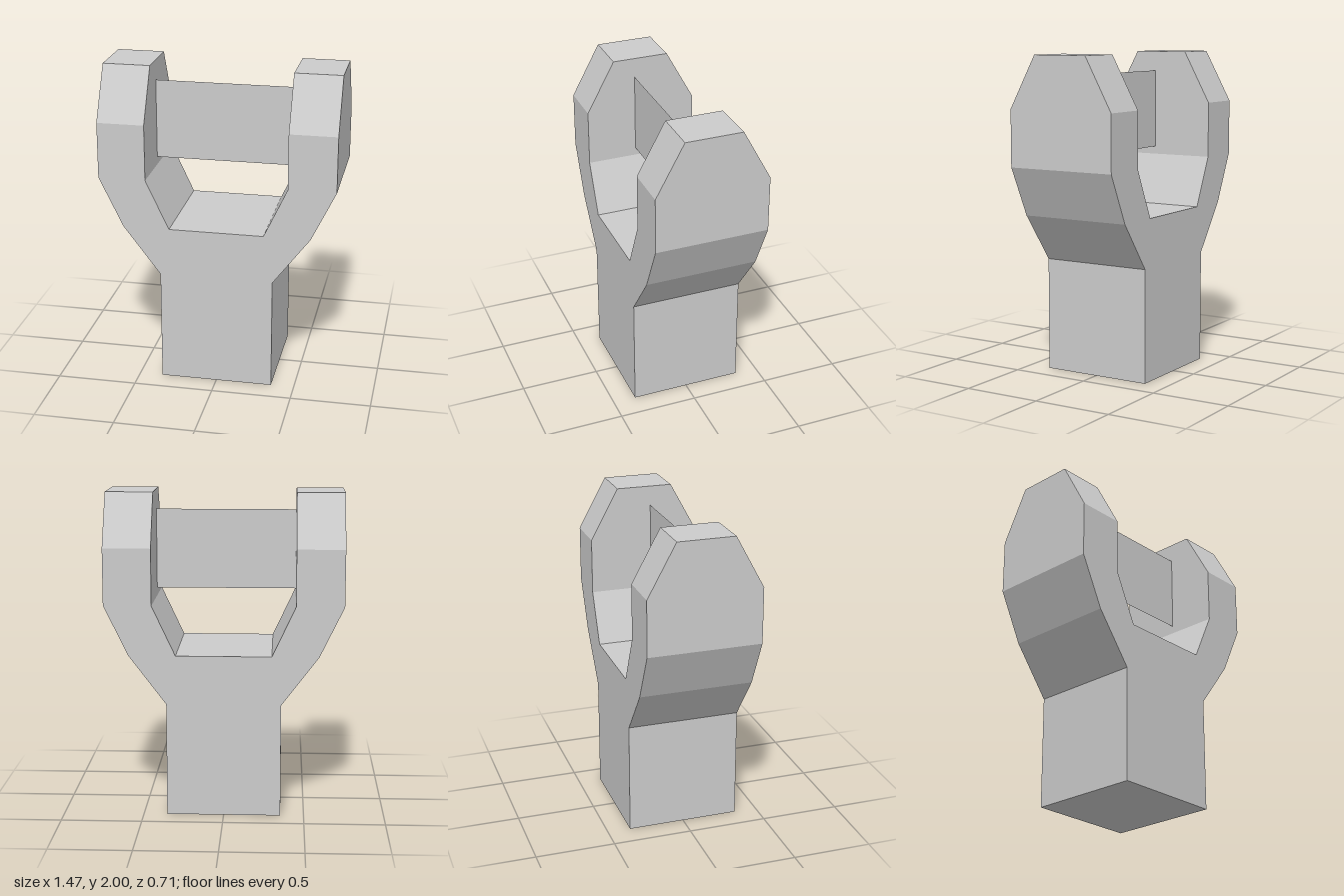
import * as THREE from 'three';

const DEPTH = 0.71, SHOULDER = 1.675, TOP = 2;
const INNER = 0.44, OUTER = 0.735;

export function createModel() {
  const group = new THREE.Group();
  const grey = new THREE.MeshStandardMaterial({ color: 0xcccccc, flatShading: true });

  const add = (name, geometry, material = grey) => {
    const mesh = new THREE.Mesh(geometry, material);
    mesh.name = name;
    group.add(mesh);
    return mesh;
  };

  // Square handle and forked arms: half outline, mirrored to close the shape
  const half = [
    [0.354, 0], [0.354, 0.71], [0.585, 1.015], [OUTER, 1.325], [OUTER, SHOULDER],
    [INNER, SHOULDER], [INNER, 1.325], [0.295, 1.015],
  ];
  const outline = [...half, ...half.map(([x, y]) => [-x, y]).reverse()];
  const shape = new THREE.Shape(outline.map(([x, y]) => new THREE.Vector2(x, y)));
  const fork = new THREE.ExtrudeGeometry(shape, { depth: DEPTH, bevelEnabled: false });
  fork.translate(0, 0, -DEPTH / 2);
  add('forkBody', fork);

  // Arm tips, tapered front and back towards the top
  for (const [name, side] of [['leftArmTip', 1], ['rightArmTip', -1]]) {
    const tip = new THREE.BoxGeometry(OUTER - INNER, TOP - SHOULDER, DEPTH);
    const p = tip.attributes.position;
    for (let i = 0; i < p.count; i++) {
      if (p.getY(i) > 0) p.setZ(i, Math.sign(p.getZ(i)) * 0.178);
    }
    tip.computeVertexNormals();
    add(name, tip).position.set(side * (INNER + OUTER) / 2, (SHOULDER + TOP) / 2, 0);
  }

  // Flat sheet spanning the two arms, slightly forward of centre
  const sheet = grey.clone();
  sheet.side = THREE.DoubleSide;
  add('crossPlate', new THREE.PlaneGeometry(INNER * 2, 0.5), sheet).position.set(0, 1.625, 0.04);

  return group;
}
